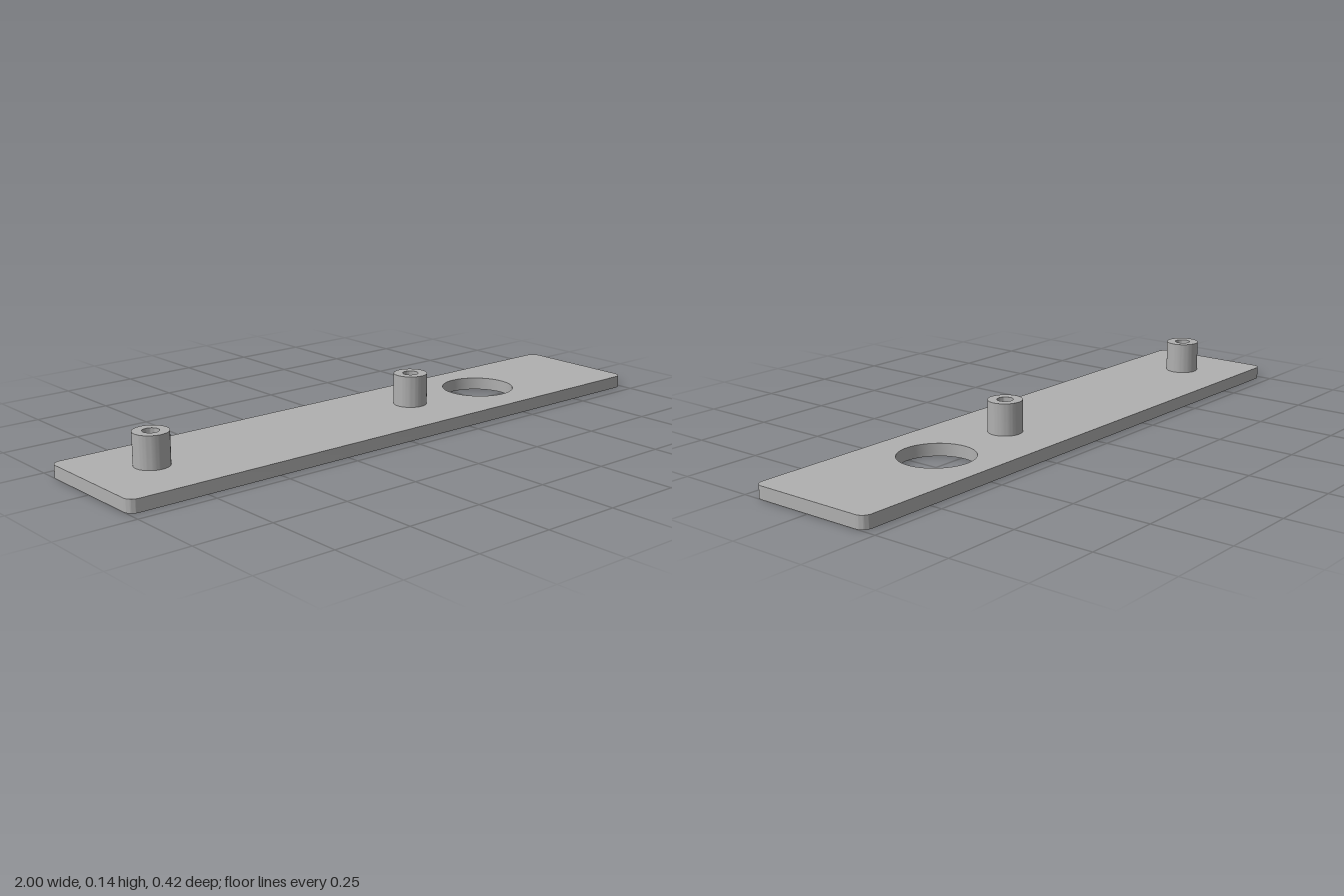
import * as THREE from 'three';
import { toCreasedNormals } from 'three/addons/utils/BufferGeometryUtils.js';

const HOLE_Z = -0.008;
const POST_X = [-0.79, 0.195];
const GROOVE_DEPTH = 0.01;

// Centre lines (x, z) of the engraved tracks on the underside
const TRACKS = [
  [[0.87, 0.145], [0.93, 0.085], [0.93, -0.04], [0.87, -0.1], [0.745, -0.1]],
  [[0.025, -0.14], [-0.095, -0.14], [-0.19, -0.045], [-0.425, -0.045], [-0.49, -0.11], [-0.63, -0.11]],
  [[0.05, 0], [-0.06, 0], [-0.107, -0.047]],
  [[0.05, 0.05], [-0.04, 0.05], [-0.138, 0.148], [-0.44, 0.148], [-0.517, 0.071], [-0.62, 0.071]],
  [[-0.21, 0.058], [-0.44, 0.058], [-0.518, -0.02], [-0.632, -0.02]],
];

function circlePath(x, z, r, Type = THREE.Path) {
  return new Type().absarc(x, z, r, 0, Math.PI * 2, false);
}

// Rounded rectangle outline
function plateShape() {
  const w = 1, d = 0.21, r = 0.03, q = Math.PI / 2;
  const s = new THREE.Shape();
  s.absarc(w - r, d - r, r, 0, q, false);
  s.absarc(-w + r, d - r, r, q, 2 * q, false);
  s.absarc(-w + r, -d + r, r, 2 * q, 3 * q, false);
  s.absarc(w - r, -d + r, r, 3 * q, 4 * q, false);
  s.closePath();
  s.holes.push(circlePath(0.505, HOLE_Z, 0.118));
  POST_X.forEach((x) => s.holes.push(circlePath(x, HOLE_Z, 0.025)));
  return s;
}

// Mitred band around a centre line, ending in a small round pad
function trackPath(line, half = 0.007, pad = 0.012) {
  const pts = line.map(([x, z]) => new THREE.Vector2(x, z));
  const dirs = pts.slice(1).map((p, i) => p.clone().sub(pts[i]).normalize());
  const left = [], right = [];
  const last = pts.length - 1;
  const end = dirs[last - 1];
  pts.forEach((p, i) => {
    const a = dirs[Math.max(i - 1, 0)], b = dirs[Math.min(i, last - 1)];
    const n = new THREE.Vector2(-a.y - b.y, a.x + b.x).normalize();
    const miter = half / n.dot(new THREE.Vector2(-a.y, a.x));
    const c = i === last ? p.clone().addScaledVector(end, -Math.sqrt(pad * pad - half * half)) : p;
    left.push(c.clone().addScaledVector(n, miter));
    right.unshift(c.clone().addScaledVector(n, -miter));
  });
  const arc = [];
  const heading = Math.atan2(end.y, end.x), open = Math.PI - Math.asin(half / pad);
  for (let i = 1; i < 12; i++) {
    const t = heading + open * (1 - i / 6);
    arc.push(new THREE.Vector2(pts[last].x + pad * Math.cos(t), pts[last].y + pad * Math.sin(t)));
  }
  return new THREE.Path([...left, ...arc, ...right]);
}

// Extrude a plan shape between two heights
function slab(name, shape, y0, y1, material) {
  const geo = new THREE.ExtrudeGeometry(shape, { depth: y1 - y0, bevelEnabled: false, curveSegments: 32 });
  geo.rotateX(Math.PI / 2);
  geo.translate(0, y1, 0);
  const mesh = new THREE.Mesh(toCreasedNormals(geo, 0.6), material);
  mesh.name = name;
  return mesh;
}

export function createModel() {
  const group = new THREE.Group();
  group.name = 'mountingPlate';
  const grey = new THREE.MeshStandardMaterial({ color: 0xb0b0b0 });
  grey.name = 'plainGrey';

  // Plate: solid upper layer over a lower layer cut by the tracks
  group.add(slab('plateUpper', plateShape(), GROOVE_DEPTH, 0.04, grey));
  const lower = plateShape();
  TRACKS.forEach((line) => lower.holes.push(trackPath(line)));
  group.add(slab('plateLower', lower, 0, GROOVE_DEPTH, grey));

  // Hollow standoff posts
  POST_X.forEach((x, i) => {
    const ring = circlePath(x, HOLE_Z, 0.054, THREE.Shape);
    ring.holes.push(circlePath(x, HOLE_Z, 0.025));
    group.add(slab(i ? 'leftPost' : 'rightPost', ring, 0.04, 0.141, grey));
  });
  return group;
}
